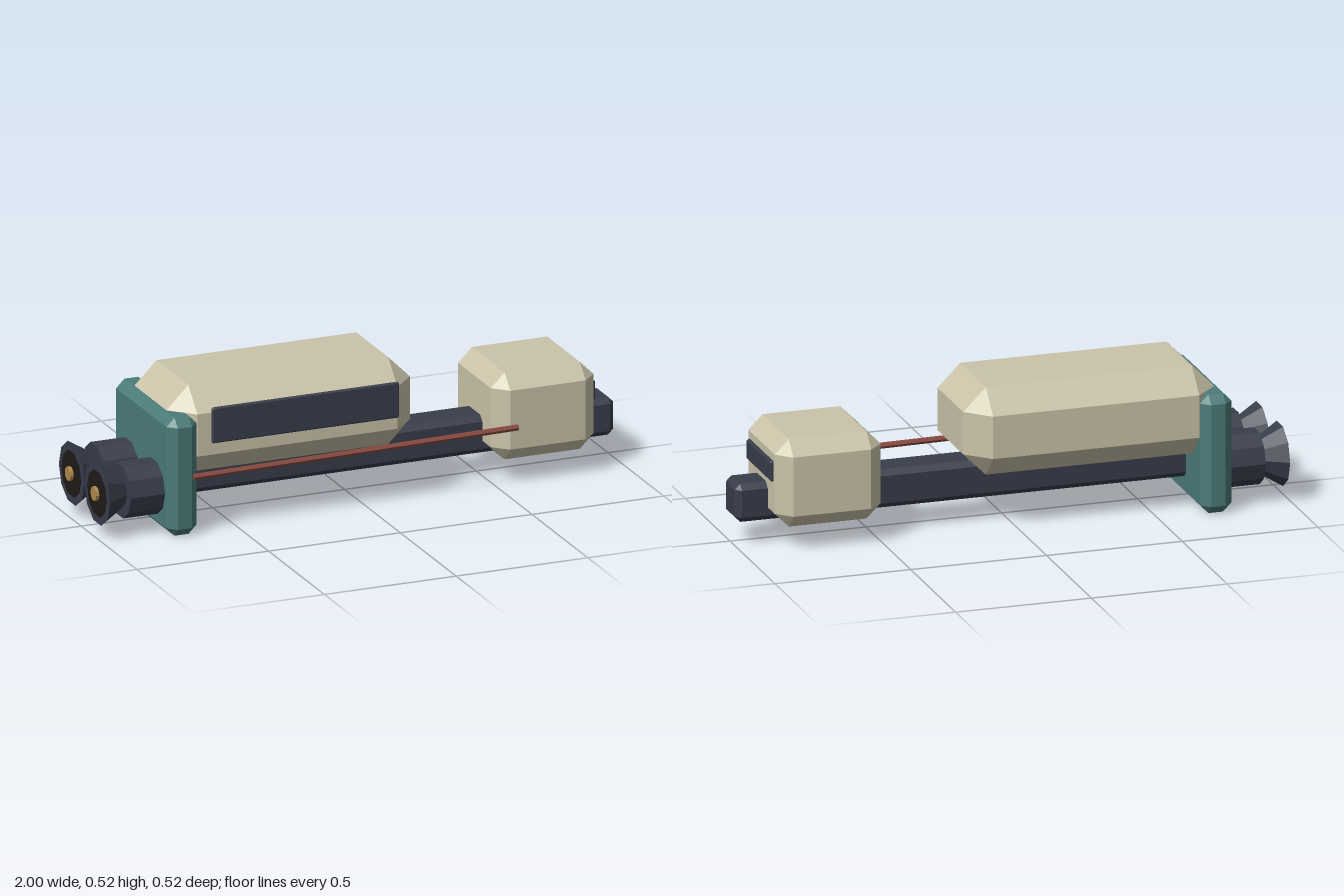
import * as THREE from 'three';
import { ConvexGeometry } from 'three/addons/geometries/ConvexGeometry.js';

const material = (name, color) => {
  const m = new THREE.MeshStandardMaterial({ color, flatShading: true });
  m.name = name;
  return m;
};

export function createModel() {
  const cream = material('cream hull', 0xcbc4aa);
  const teal = material('teal plate', 0x4a7b79);
  const slate = material('dark slate', 0x383d4b);
  const rust = material('rust pipe', 0x8a4a40);
  const soot = material('nozzle soot', 0x1f1a18);
  const gold = material('gold core', 0xb08a4a);

  const model = new THREE.Group();
  model.name = 'spacecraft';
  const add = (name, geometry, mat, parent = model) => {
    const mesh = new THREE.Mesh(geometry, mat);
    mesh.name = name;
    parent.add(mesh);
    return mesh;
  };

  // Box with every edge chamfered by c, given its extents
  const chamferBox = (name, [x0, x1], [y0, y1], [z0, z1], c, mat) => {
    const half = [(x1 - x0) / 2, (y1 - y0) / 2, (z1 - z0) / 2];
    const points = [];
    for (const sx of [-1, 1]) for (const sy of [-1, 1]) for (const sz of [-1, 1])
      for (let axis = 0; axis < 3; axis++) {
        const p = half.map((h, i) => (i === axis ? h : h - c));
        points.push(new THREE.Vector3(sx * p[0], sy * p[1], sz * p[2]));
      }
    const mesh = add(name, new ConvexGeometry(points), mat);
    mesh.position.set((x0 + x1) / 2, (y0 + y1) / 2, (z0 + z1) / 2);
  };

  // Hull
  chamferBox('spineBeam', [-0.72, 1], [0.085, 0.225], [-0.073, 0.067], 0.02, slate);
  chamferBox('cargoPod', [-0.735, 0.19], [0.198, 0.52], [-0.23, 0.222], 0.083, cream);
  chamferBox('cabin', [0.495, 0.885], [0.083, 0.405], [-0.202, 0.195], 0.052, cream);
  chamferBox('enginePlate', [-0.77, -0.655], [0, 0.437], [-0.26, 0.252], 0.031, teal);

  // Windows
  chamferBox('sideWindow', [-0.6, 0.11], [0.325, 0.457], [0.22, 0.234], 0.005, slate);
  chamferBox('frontWindow', [0.88, 0.897], [0.25, 0.325], [-0.138, 0.131], 0.005, slate);

  // Engines, with their axes along x
  const tube = (name, xBack, xFront, rBack, rFront, mat, parent) => {
    const geometry = new THREE.CylinderGeometry(rBack, rFront, xFront - xBack, 10);
    geometry.rotateZ(Math.PI / 2);
    add(name, geometry, mat, parent).position.x = (xBack + xFront) / 2;
  };
  for (const side of [-1, 1]) {
    const engine = new THREE.Group();
    engine.name = side > 0 ? 'leftEngine' : 'rightEngine';
    engine.position.set(0, 0.155, -0.005 + side * 0.115);
    tube('engineBody', -0.9, -0.75, 0.1, 0.1, slate, engine);
    tube('nozzle', -0.985, -0.895, 0.115, 0.06, slate, engine);
    tube('nozzleThroat', -0.988, -0.982, 0.085, 0.085, soot, engine);
    tube('nozzleCore', -1, -0.985, 0.026, 0.026, gold, engine);
    model.add(engine);
  }

  // Slanted pipe along the left flank
  const start = new THREE.Vector3(-0.68, 0.219, 0.251);
  const end = new THREE.Vector3(0.57, 0.219, 0.208);
  const direction = end.clone().sub(start);
  const pipe = add('fuelPipe', new THREE.CylinderGeometry(0.011, 0.011, direction.length(), 6), rust);
  pipe.position.copy(start).add(end).multiplyScalar(0.5);
  pipe.quaternion.setFromUnitVectors(new THREE.Vector3(0, 1, 0), direction.normalize());

  return model;
}
